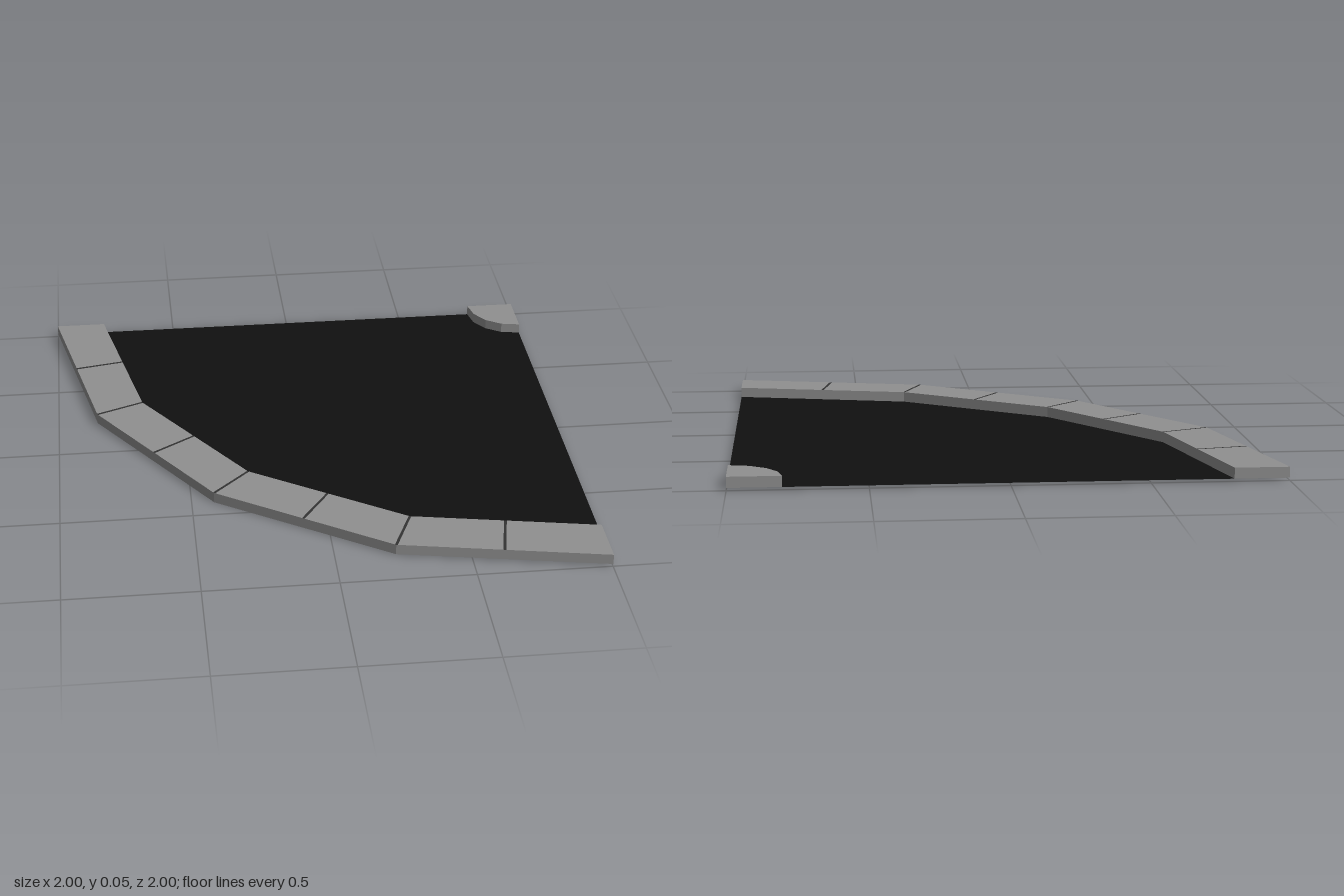
import * as THREE from 'three';

const STEPS = 8;              // kerb stones; the arc bends at every second joint
const JOINT = 0.014;          // half width of a joint, as a share of a stone
const ANGLES = [0, 22.8, 45, 67.2, 90];
const SAG = [0.01, 0.0035, 0, 0.0035, 0.01];   // underside dips toward the diagonal

// Point on a four-sided quarter arc centred on the back right corner; i runs 0..STEPS
function arcPoint(radius, i) {
  const k = Math.min(Math.floor(i / 2), 3);
  const corner = (n) => {
    const a = THREE.MathUtils.degToRad(ANGLES[n]);
    const y = 0.01 - (0.01 - SAG[n]) * (radius / 2);
    return new THREE.Vector3(1 - radius * Math.cos(a), y, -1 + radius * Math.sin(a));
  };
  return corner(k).lerp(corner(k + 1), i / 2 - k);
}

// Point on the top of a kerb, above a point of its underside
const raise = (p) => new THREE.Vector3(p.x, p.y * 0.8 + 0.042, p.z);

// Flat face between two radii, from step a to step b
const band = (inner, outer, a, b) =>
  [arcPoint(inner, a), arcPoint(outer, a), arcPoint(outer, b), arcPoint(inner, b)];

// Upright faces around a closed loop that runs counterclockwise from above
const walls = (loop) => loop.map((p, i) => {
  const q = loop[(i + 1) % loop.length];
  return [p, q, raise(q), raise(p)];
});

// Builds a flat-shaded surface from polygons given as point loops
function surface(faces) {
  const pos = [];
  for (const f of faces) {
    for (let i = 1; i < f.length - 1; i++) {
      for (const p of [f[0], f[i], f[i + 1]]) pos.push(p.x, p.y, p.z);
    }
  }
  const geo = new THREE.BufferGeometry();
  geo.setAttribute('position', new THREE.Float32BufferAttribute(pos, 3));
  geo.computeVertexNormals();
  return geo;
}

export function createModel() {
  const group = new THREE.Group();
  const material = (color) => new THREE.MeshStandardMaterial({
    color, flatShading: true, side: THREE.DoubleSide,
  });
  const kerbMat = material(0x909090);
  const jointMat = material(0x333333);
  const roadMat = material(0x101010);
  const add = (name, faces, mat, parent = group) => {
    const mesh = new THREE.Mesh(surface(faces), mat);
    mesh.name = name;
    parent.add(mesh);
  };

  // Road surface between the inner corner and the outer kerb
  const road = [];
  for (let i = 0; i < STEPS; i += 2) road.push(band(0.195, 1.8, i, i + 2));
  add('road', road, roadMat);

  // Outer kerb: stone tops with dark joints between them, open underneath
  const kerb = new THREE.Group();
  kerb.name = 'outerKerb';
  group.add(kerb);
  for (let i = 0; i < STEPS; i++) {
    const a = i === 0 ? 0 : i + JOINT;
    const b = i === STEPS - 1 ? STEPS : i + 1 - JOINT;
    add('kerbStone', [band(1.8, 2, a, b).map(raise)], kerbMat, kerb);
  }
  for (let i = 1; i < STEPS; i++) {
    const halves = [band(1.8, 2, i - JOINT, i), band(1.8, 2, i, i + JOINT)];
    add('kerbJoint', halves.map((f) => f.map(raise)), jointMat, kerb);
  }

  // Side and end walls of the outer kerb
  const outline = [];
  for (let i = 0; i <= STEPS; i += 2) outline.push(arcPoint(2, i));
  for (let i = STEPS; i >= 0; i -= 2) outline.push(arcPoint(1.8, i));
  add('kerbWalls', walls(outline), kerbMat, kerb);

  // Inner corner kerb, a small quarter disc
  const disc = [new THREE.Vector3(1, 0.01, -1)];
  for (let i = 0; i <= STEPS; i += 2) disc.push(arcPoint(0.195, i));
  add('cornerKerb', [disc.map(raise), ...walls(disc)], kerbMat);

  return group;
}
